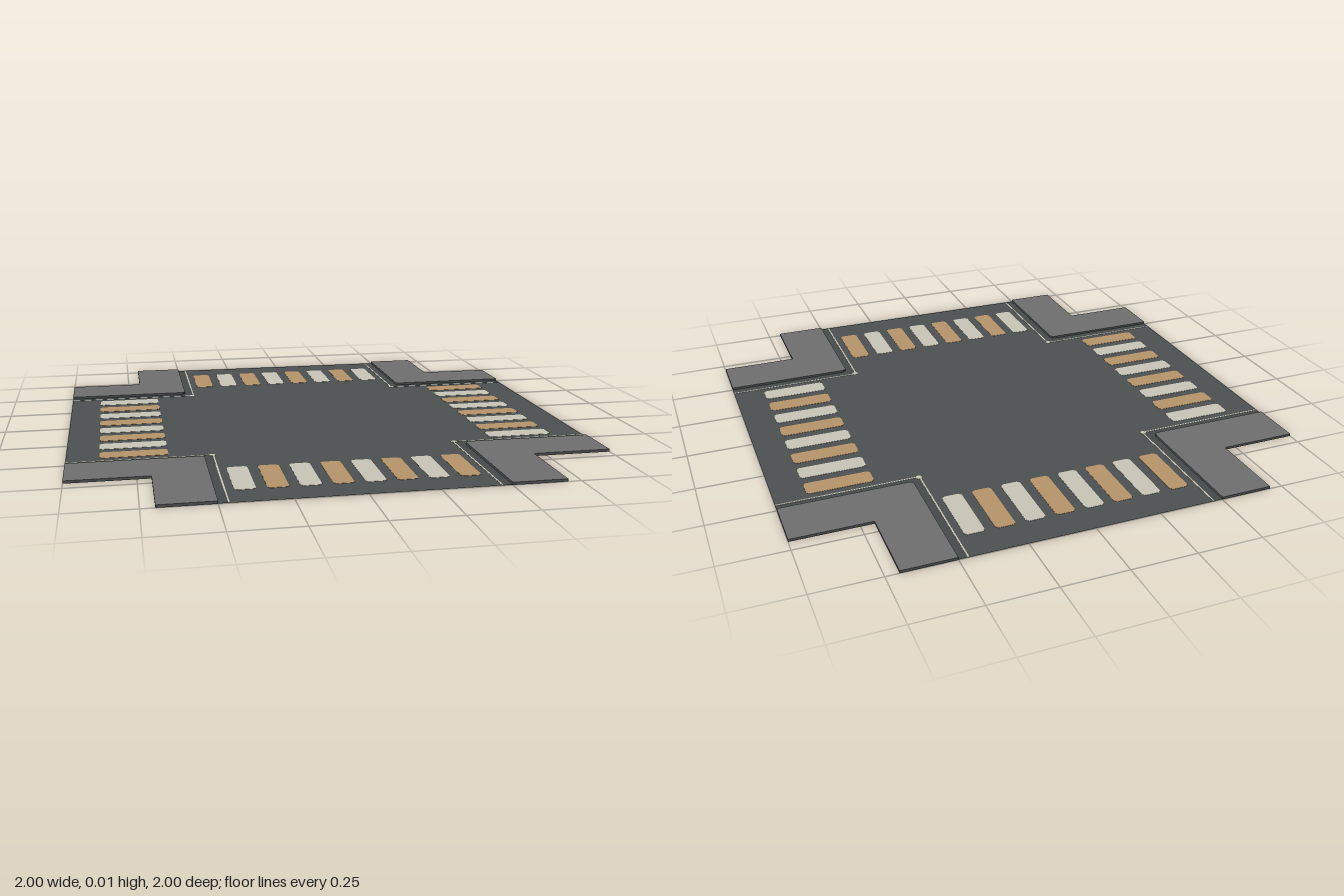
import * as THREE from 'three';

const mat = (name, color, side = THREE.FrontSide) => {
  const m = new THREE.MeshStandardMaterial({ color, side });
  m.name = name;
  return m;
};

// Polygon in plan, drawn with +y pointing to the back (-z)
const plan = pts => new THREE.Shape(pts.map(([x, y]) => new THREE.Vector2(x, y)));

// L-shaped outline round one corner: inner edge a, outer edge b, chamfer c on the inner corner
const cornerL = (a, b, c) => plan([
  [a, a + c], [a + c * 0.3, a + c * 0.3], [a + c, a], [1, a], [1, b], [b, b], [b, 1], [a, 1],
]);

// Rectangle with clipped corners
const clipped = (x, y, w, h, c) => plan([
  [x - w + c, y - h], [x + w - c, y - h], [x + w, y - h + c], [x + w, y + h - c],
  [x + w - c, y + h], [x - w + c, y + h], [x - w, y + h - c], [x - w, y - h + c],
]);

export function createModel() {
  const asphalt = mat('asphalt', 0x4d5151, THREE.DoubleSide);
  const gutterGrey = mat('gutter grey', 0x464a4a, THREE.DoubleSide);
  const paving = mat('paving', 0x6f6f6f);
  const curbGrey = mat('curb grey', 0x4c4e50);
  const cream = mat('cream paint', 0xc9c7b8);
  const tan = mat('tan paint', 0xb8956b);

  const model = new THREE.Group();
  model.name = 'crossroads';

  const add = (parent, name, geometry, material, y = 0) => {
    geometry.rotateX(-Math.PI / 2);
    const mesh = new THREE.Mesh(geometry, material);
    mesh.name = name;
    mesh.position.y = y;
    parent.add(mesh);
  };
  const slab = (shape, depth) => new THREE.ExtrudeGeometry(shape, { depth, bevelEnabled: false });

  // Road surface: a cross reaching the painted edge lines
  const r = 0.465;
  add(model, 'road', new THREE.ShapeGeometry(plan([
    [r, r], [r, 1], [-r, 1], [-r, r], [-1, r], [-1, -r],
    [-r, -r], [-r, -1], [r, -1], [r, -r], [1, -r], [1, r],
  ])), asphalt, 0.001);

  // One arm and one corner, turned four times
  for (let i = 0; i < 4; i++) {
    const quarter = new THREE.Group();
    quarter.name = `quarter${i + 1}`;
    quarter.rotation.y = -i * Math.PI / 2;
    model.add(quarter);

    // Raised pavement, gutter beside it and thin edge line
    add(quarter, 'pavement', slab(cornerL(0.5, 0.7, 0.015), 0.01), [paving, curbGrey]);
    add(quarter, 'gutter', new THREE.ShapeGeometry(cornerL(r, 0.505, 0)), gutterGrey, 0.001);
    add(quarter, 'edgeLine', slab(cornerL(0.462, 0.468, 0), 0.002), cream);
    add(quarter, 'cornerDot', slab(clipped(0.468, 0.468, 0.011, 0.011, 0.006), 0.002), cream);

    // Crossing with alternating stripes, readable from both faces
    for (let k = 0; k < 8; k++) {
      const x = (k - 3.5) * 0.1133;
      add(quarter, 'crossingStripe', slab(clipped(x, 0.753, 0.0375, 0.126, 0.01), 0.002),
        k % 2 ? cream : tan);
    }
  }
  return model;
}
